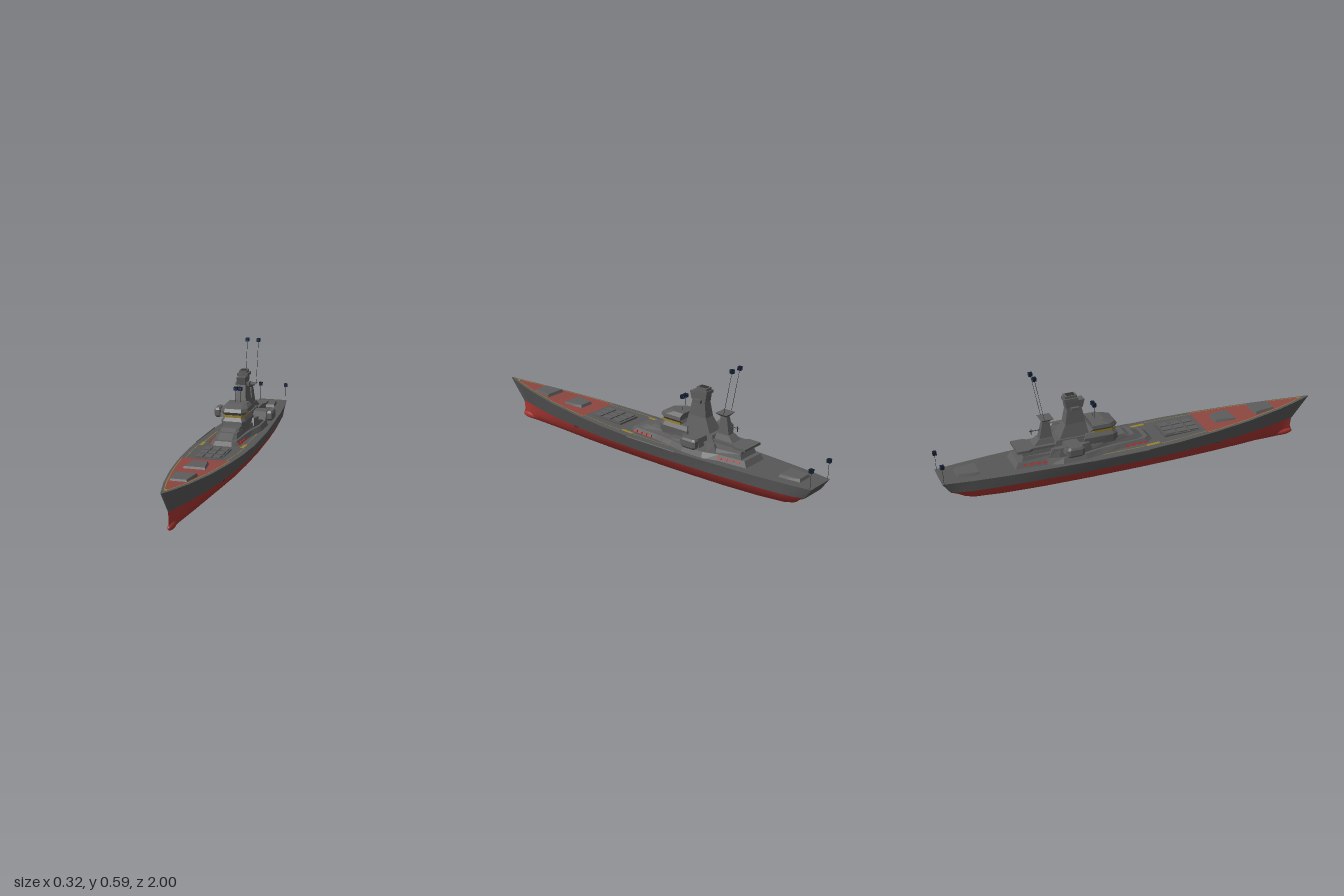
import * as THREE from 'three';

const mat = (name, color) => new THREE.MeshStandardMaterial({ name, color, side: THREE.DoubleSide });

// Surface through rows of points with equal length
function surface(rows, flat = true) {
  const n = rows[0].length, idx = [];
  for (let r = 0; r < rows.length - 1; r++) for (let c = 0; c < n - 1; c++) {
    const a = r * n + c, b = a + n;
    idx.push(a, b, a + 1, b, b + 1, a + 1);
  }
  let g = new THREE.BufferGeometry();
  g.setAttribute('position', new THREE.Float32BufferAttribute(rows.flat(2), 3));
  g.setIndex(idx);
  if (flat) g = g.toNonIndexed();
  g.computeVertexNormals();
  return g;
}

// Hull stations, bow to stern: z, deck half width, deck y, waterline half width, keel y
const stations = [
  [1, 0.004, 0.205, 0.004, 0.012], [0.95, 0.018, 0.2, 0.007, 0.004], [0.9, 0.032, 0.196, 0.014, 0.001],
  [0.8, 0.058, 0.189, 0.034, 0], [0.6, 0.098, 0.178, 0.072, 0], [0.4, 0.125, 0.17, 0.101, 0],
  [0.2, 0.142, 0.163, 0.119, 0], [0, 0.148, 0.157, 0.126, 0], [-0.25, 0.144, 0.153, 0.126, 0],
  [-0.5, 0.128, 0.151, 0.117, 0.002], [-0.7, 0.114, 0.15, 0.105, 0.008], [-0.85, 0.099, 0.15, 0.092, 0.018],
  [-0.93, 0.088, 0.15, 0.08, 0.03], [-0.995, 0.078, 0.15, 0.066, 0.055],
];
function hullAt(z, col) {
  for (let i = 0; i < stations.length - 1; i++) {
    const a = stations[i], b = stations[i + 1];
    if (z <= a[0] && z >= b[0]) return THREE.MathUtils.lerp(a[col], b[col], (a[0] - z) / (a[0] - b[0]));
  }
  return stations[0][col];
}

export function createModel() {
  const M = {
    hull: mat('hull grey', 0x575757), upper: mat('superstructure grey', 0x5d5d5d),
    red: mat('bottom red', 0xa83632), deckRed: mat('deck red', 0x8c4640),
    yellow: mat('marking yellow', 0x97802f), dark: mat('dark grey', 0x333333),
    navy: mat('navy', 0x141c2c), blue: mat('lamp blue', 0x2a4c86),
  };
  const root = new THREE.Group();
  root.name = 'warship';
  const add = (name, geo, m, x = 0, y = 0, z = 0, parent = root) => {
    const mesh = new THREE.Mesh(geo, m);
    mesh.name = name;
    mesh.position.set(x, y, z);
    parent.add(mesh);
    return mesh;
  };
  const box = (name, m, w, h, d, x, y, z) => add(name, new THREE.BoxGeometry(w, h, d), m, x, y, z);
  // Mirrored block: half outlines [x, z] run from front to back
  const block = (name, m, low, y0, y1, high = low, x = 0) => {
    const line = (p, s, y) => p.map(([px, pz]) => [s * px, y, pz]);
    const tl = line(high, -1, y1), tr = line(high, 1, y1), bl = line(low, -1, y0), br = line(low, 1, y0);
    const g = new THREE.Group();
    g.name = name;
    g.position.x = x;
    root.add(g);
    const e = low.length - 1;
    add(name + 'Sides', surface([tl, tr, br, bl, tl]), m, 0, 0, 0, g);
    add(name + 'Front', surface([[tr[0], tl[0]], [br[0], bl[0]]].map(r => r.reverse())), m, 0, 0, 0, g);
    add(name + 'Back', surface([[tr[e], tl[e]], [br[e], bl[e]]]), m, 0, 0, 0, g);
    return g;
  };
  const rod = (name, m, a, b, r) => {
    const va = new THREE.Vector3(...a), vb = new THREE.Vector3(...b);
    return add(name, new THREE.TubeGeometry(new THREE.LineCurve3(va, vb), 1, r, 6), m);
  };

  // Hull: lines from keel to deck, with raked bow and stern
  const rakeBow = [0.085, 0.09, 0.1, 0.095, 0], rakeStern = [0.1, 0.09, 0.07, 0.04, 0];
  const line = (s, l) => stations.map(([z, dw, dy, ww, ky]) => {
    const zz = z - rakeBow[l] * Math.max(0, (z - 0.6) / 0.4) ** 2 + rakeStern[l] * Math.max(0, (-0.75 - z) / 0.245) ** 2;
    const x = [0, 0.44 * ww, 0.8 * ww, ww, dw][l];
    const y = l === 4 ? dy : ky + (0.092 - ky) * [0, 0.16, 0.5, 1][l];
    return [s * x, y, zz];
  });
  const R = [0, 1, 2, 3, 4].map(l => line(1, l)), L = [0, 1, 2, 3, 4].map(l => line(-1, l));
  add('hullBottom', surface([R[3], R[2], R[1], R[0], L[1], L[2], L[3]], false), M.red);
  add('hullSideLeft', surface([R[4], R[3]], false), M.hull);
  add('hullSideRight', surface([L[3], L[4]], false), M.hull);
  add('mainDeck', surface([L[4], R[4]]), M.hull);
  const end = stations.length - 1, tip = (S, a, b) => S.slice(a, b).map(l => l[end]);
  add('transomBottom', surface([tip(R, 0, 4), tip(L, 0, 4)]), M.red);
  add('transomTop', surface([tip(R, 3, 5), tip(L, 3, 5)]), M.hull);
  add('bowBulb', new THREE.SphereGeometry(1, 16, 10), M.red, 0, 0.019, 0.86).scale.set(0.013, 0.018, 0.055);
  for (const s of [-1, 1]) {
    rod('rubbingStrake', M.hull, [s * 0.147, 0.156, 0.03], [s * 0.143, 0.153, -0.27], 0.004);
    box('hawseMark', M.dark, 0.008, 0.006, 0.03, s * 0.099, 0.094, 0.42);
  }

  // Painted foredeck and edge lines
  const deckLine = (zs, inset, lift) => zs.map(z => [Math.max(0.001, hullAt(z, 1) - inset), hullAt(z, 2) + lift, z]);
  const flip = r => r.map(([x, y, z]) => [-x, y, z]);
  const fore = [0.96, 0.9, 0.8, 0.6, 0.4, 0.36];
  const edge = deckLine(fore, 0.014, 0.002);
  add('redForedeck', surface([flip(edge), edge]), M.deckRed);
  const stripes = [[fore, 0.016, 0.012], [[0.36, 0.2, 0.1], 0.03, 0.027], [[0.1, 0.03], 0.05, 0.032], [[0.03, 0, -0.2], 0.042, 0.038]];
  for (const [zs, a, b] of stripes) {
    const p = deckLine(zs, a, 0.003), q = deckLine(zs, b, 0.003);
    add('deckLineLeft', surface([p, q]), M.yellow);
    add('deckLineRight', surface([flip(q), flip(p)]), M.yellow);
  }
  box('bowMark', M.yellow, 0.012, 0.004, 0.012, 0, 0.202, 0.94);

  // Raised deck hatches
  for (const [zf, wf, zb, wb] of [[0.78, 0.045, 0.66, 0.058], [0.55, 0.058, 0.435, 0.042], [-0.8, 0.056, -0.915, 0.043]]) {
    const y = hullAt((zf + zb) / 2, 2), k = 0.008;
    block('deckHatch', M.upper, [[wf, zf], [wb, zb]], y - 0.006, y + 0.014, [[wf - k, zf - k], [wb - k, zb + k]]);
  }
  // Launch cell field
  block('cellBase', M.hull, [[0.066, 0.345], [0.066, 0.145]], 0.155, 0.17);
  for (let i = -1; i <= 1; i++) for (let j = -1; j <= 1; j++)
    box('cellLid', M.upper, 0.034, 0.007, 0.048, i * 0.042, 0.172, 0.245 + j * 0.064);

  // Stepped deckhouse
  block('deckhouseBase', M.upper,
    [[0.05, 0.1], [0.078, 0.06], [0.086, -0.1], [0.1, -0.2], [0.115, -0.28], [0.115, -0.41], [0.09, -0.48], [0.074, -0.64]],
    0.145, 0.178,
    [[0.042, 0.06], [0.062, 0.035], [0.07, -0.1], [0.08, -0.2], [0.1, -0.29], [0.1, -0.4], [0.076, -0.48], [0.062, -0.62]]);
  block('deckhouseStep', M.upper, [[0.036, 0.04], [0.055, 0.01], [0.062, -0.16], [0.085, -0.28], [0.085, -0.41], [0.06, -0.6]],
    0.176, 0.202, [[0.034, -0.01], [0.046, -0.03], [0.055, -0.16], [0.075, -0.3], [0.075, -0.4], [0.055, -0.59]]);
  block('foreStep', M.upper, [[0.035, -0.03], [0.048, -0.05], [0.05, -0.14]], 0.2, 0.215, [[0.032, -0.06], [0.044, -0.08], [0.046, -0.14]]);
  // Row of red ports along each side
  for (const s of [-1, 1]) for (const z0 of [0.035, -0.49]) for (let i = 0; i < 4; i++) {
    const z = z0 - i * 0.032, x = z0 > 0 ? 0.074 + i * 0.0016 : 0.08 - i * 0.004;
    box('redPort', M.red, 0.008, 0.011, 0.021, s * x, 0.163, z).rotation.z = s * 0.45;
  }

  // Bridge
  block('bridgeLower', M.upper, [[0.045, -0.1], [0.06, -0.13], [0.062, -0.29]], 0.195, 0.237, [[0.05, -0.105], [0.064, -0.13], [0.064, -0.28]]);
  block('bridgeMiddle', M.upper, [[0.05, -0.105], [0.064, -0.13], [0.064, -0.28]], 0.237, 0.256, [[0.04, -0.115], [0.052, -0.135], [0.052, -0.27]]);
  block('bridgeWindows', M.yellow, [[0.044, -0.113], [0.055, -0.135], [0.055, -0.23]], 0.256, 0.268);
  block('bridgeRoofLower', M.upper, [[0.04, -0.115], [0.055, -0.135], [0.055, -0.25]], 0.268, 0.283, [[0.045, -0.105], [0.07, -0.14], [0.07, -0.24]]);
  block('bridgeRoofUpper', M.upper, [[0.045, -0.105], [0.07, -0.14], [0.07, -0.24]], 0.283, 0.3, [[0.042, -0.115], [0.067, -0.15], [0.067, -0.24]]);
  block('bridgeRoofTop', M.upper, [[0.042, -0.115], [0.067, -0.15], [0.067, -0.24]], 0.3, 0.316, [[0.038, -0.17], [0.05, -0.19], [0.05, -0.245]]);

  // Main tower
  block('towerFoot', M.upper, [[0.06, -0.24], [0.06, -0.44]], 0.2, 0.25, [[0.05, -0.25], [0.05, -0.42]]);
  block('towerBase', M.upper, [[0.042, -0.25], [0.042, -0.4]], 0.25, 0.315, [[0.028, -0.262], [0.028, -0.365]]);
  block('towerShaft', M.upper, [[0.028, -0.262], [0.028, -0.365]], 0.315, 0.4, [[0.021, -0.28], [0.021, -0.35]]);
  block('towerHead', M.upper, [[0.021, -0.272], [0.021, -0.355]], 0.392, 0.432, [[0.022, -0.262], [0.022, -0.36]]);
  block('towerCap', M.upper, [[0.027, -0.295], [0.027, -0.365]], 0.432, 0.447);
  block('towerTop', M.upper, [[0.02, -0.3], [0.02, -0.36]], 0.447, 0.46);
  box('towerGrille', M.dark, 0.026, 0.003, 0.04, 0, 0.461, -0.33);
  for (const s of [-1, 1]) {
    box('towerWing', M.upper, 0.014, 0.016, 0.04, s * 0.028, 0.392, -0.315);
    // Side sponsons with outboard pods
    const arm = [[0.034, -0.31], [0.034, -0.4]];
    block('sponsonArm', M.upper, arm, 0.204, 0.246, [[0.034, -0.32], [0.034, -0.39]], s * 0.088);
    const wide = [[0.012, -0.312], [0.018, -0.325], [0.018, -0.385], [0.012, -0.398]];
    const slim = [[0.007, -0.32], [0.012, -0.33], [0.012, -0.38], [0.007, -0.39]];
    block('podLower', M.upper, slim, 0.2, 0.21, wide, s * 0.14);
    block('podMiddle', M.upper, wide, 0.21, 0.24, wide, s * 0.14);
    block('podUpper', M.upper, wide, 0.24, 0.25, slim, s * 0.14);
    block('sideFairing', M.upper, [[0.008, -0.24], [0.022, -0.3], [0.022, -0.42], [0.008, -0.47]], 0.175, 0.222,
      [[0.006, -0.26], [0.014, -0.3], [0.014, -0.41], [0.006, -0.45]], s * 0.068);
  }

  // Aft house, overhanging platform and mast
  block('aftHouse', M.upper, [[0.055, -0.42], [0.055, -0.59]], 0.2, 0.222, [[0.05, -0.42], [0.05, -0.6]]);
  block('aftPlatform', M.upper, [[0.05, -0.42], [0.05, -0.54], [0.062, -0.56], [0.062, -0.62]], 0.222, 0.234);
  block('mastFoot', M.upper, [[0.034, -0.42], [0.034, -0.53]], 0.232, 0.26, [[0.024, -0.43], [0.024, -0.5]]);
  block('mastTrunk', M.upper, [[0.02, -0.43], [0.02, -0.495]], 0.258, 0.345, [[0.011, -0.44], [0.011, -0.475]]);
  block('mastPlatform', M.upper, [[0.014, -0.44], [0.014, -0.475]], 0.345, 0.362, [[0.036, -0.425], [0.036, -0.49]]);
  rod('aftBoom', M.dark, [0, 0.3, -0.48], [0, 0.3, -0.54], 0.002);
  rod('boomAerial', M.dark, [0, 0.282, -0.53], [0, 0.31, -0.53], 0.002);

  // Poles carrying small lamp boxes
  const lamps = [[0.03, 0.36, -0.47, 0.585, -0.513], [0.012, 0.3, -0.21, 0.385, -0.21], [0.074, 0.148, -0.985, 0.24, -0.988]];
  for (const s of [-1, 1]) for (const [x, y0, z0, y1, z1] of lamps) {
    rod('lampPole', M.dark, [s * x, y0, z0], [s * x, y1, z1], 0.001);
    box('lampBox', M.navy, 0.018, 0.018, 0.018, s * x, y1, z1);
    for (const u of [-1, 1]) for (const v of [-1, 1])
      box('lampCell', M.blue, 0.004, 0.004, 0.02, s * x + u * 0.004, y1 + v * 0.004, z1);
  }
  return root;
}
